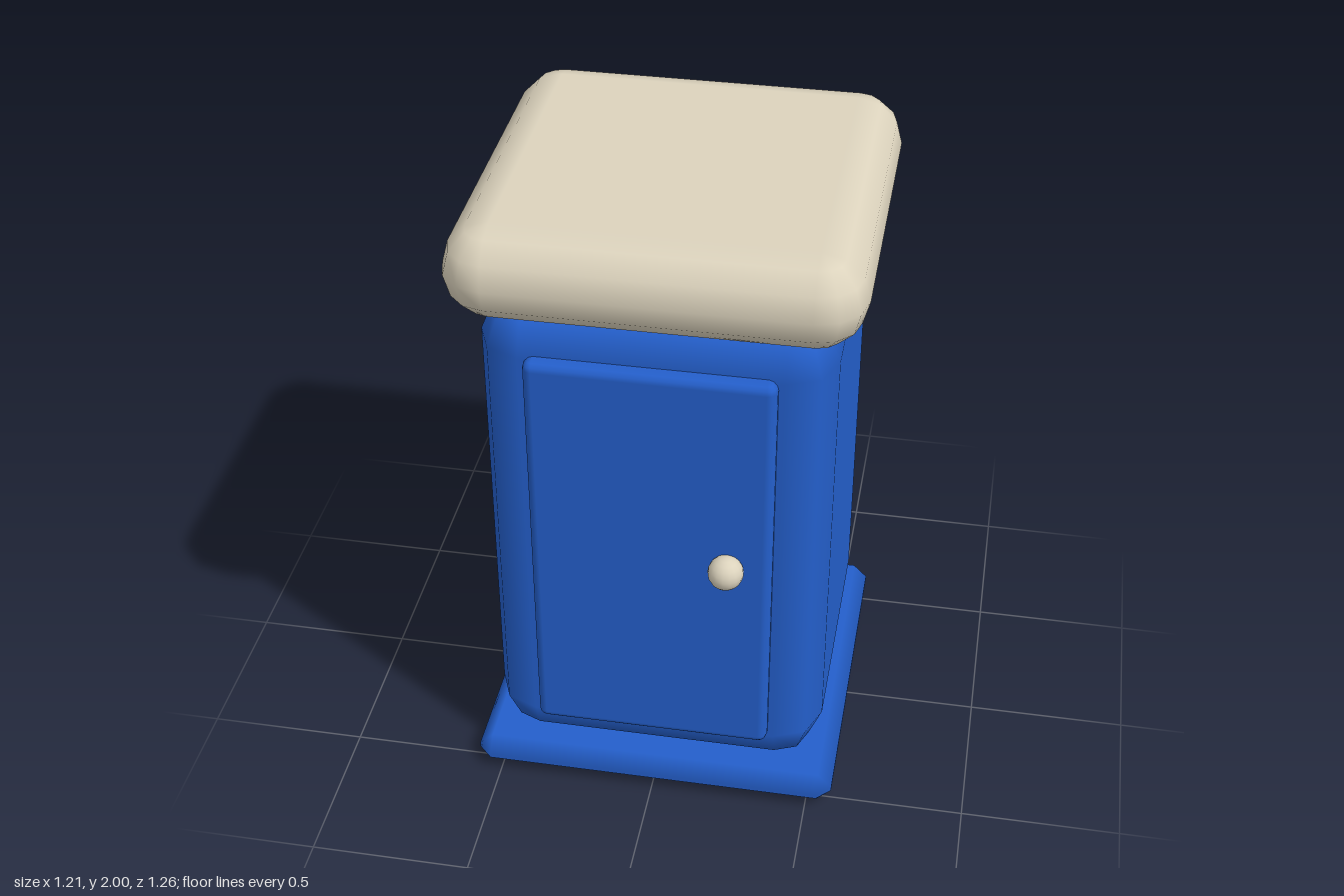
import * as THREE from 'three';

// Box with rounded edges: a sphere whose octants are pulled apart, n segments per quarter turn.
function roundedBox(w, h, d, r, n) {
  const cols = 4 * (n + 1), rows = 2 * n + 3;
  const geo = new THREE.SphereGeometry(1, cols, rows);
  const pos = geo.attributes.position, nor = geo.attributes.normal;
  const q = Math.PI / 2;
  for (let iy = 0, i = 0; iy <= rows; iy++) {
    const cap = iy === 0 || iy === rows;
    const upper = iy <= n + 1;
    const step = upper ? Math.max(iy - 1, 0) : Math.min(iy - 2, 2 * n);
    const phi = (step / n) * q;
    for (let ix = 0; ix <= cols; ix++, i++) {
      const k = ix % cols, quad = Math.floor(k / (n + 1));
      const theta = (quad + (k % (n + 1)) / n) * q;
      const nx = -Math.cos(theta) * Math.sin(phi);
      const ny = Math.cos(phi);
      const nz = Math.sin(theta) * Math.sin(phi);
      const sx = cap ? 0 : (quad === 0 || quad === 3 ? -1 : 1);
      const sz = cap ? 0 : (quad < 2 ? 1 : -1);
      const sy = upper ? 1 : -1;
      pos.setXYZ(i, nx * r + sx * (w / 2 - r), ny * r + sy * (h / 2 - r), nz * r + sz * (d / 2 - r));
      nor.setXYZ(i, nx, ny, nz);
    }
  }
  return geo;
}

export function createModel() {
  const group = new THREE.Group();
  const blue = new THREE.MeshStandardMaterial({ color: 0x245fcb });
  blue.name = 'blue';
  const beige = new THREE.MeshStandardMaterial({ color: 0xdcd3bd });
  beige.name = 'beige';

  function add(name, geo, mat, x, y, z) {
    const mesh = new THREE.Mesh(geo, mat);
    mesh.name = name;
    mesh.position.set(x, y, z);
    group.add(mesh);
  }

  // Floor slab, cabin and overhanging roof
  add('base', roundedBox(1.16, 0.105, 1.16, 0.045, 1), blue, 0, 0.0525, -0.02);
  add('body', roundedBox(1.05, 1.635, 1.055, 0.14, 2), blue, 0, 0.9225, -0.0185);
  add('roof', roundedBox(1.21, 0.285, 1.21, 0.142, 3), beige, 0, 1.8575, -0.022);

  // Door panel on the front with its round knob
  add('door', roundedBox(0.735, 1.365, 0.1, 0.028, 3), blue, 0, 0.927, 0.5);
  add('doorKnob', new THREE.SphereGeometry(0.054, 16, 10), beige, 0.235, 0.952, 0.574);

  return group;
}
